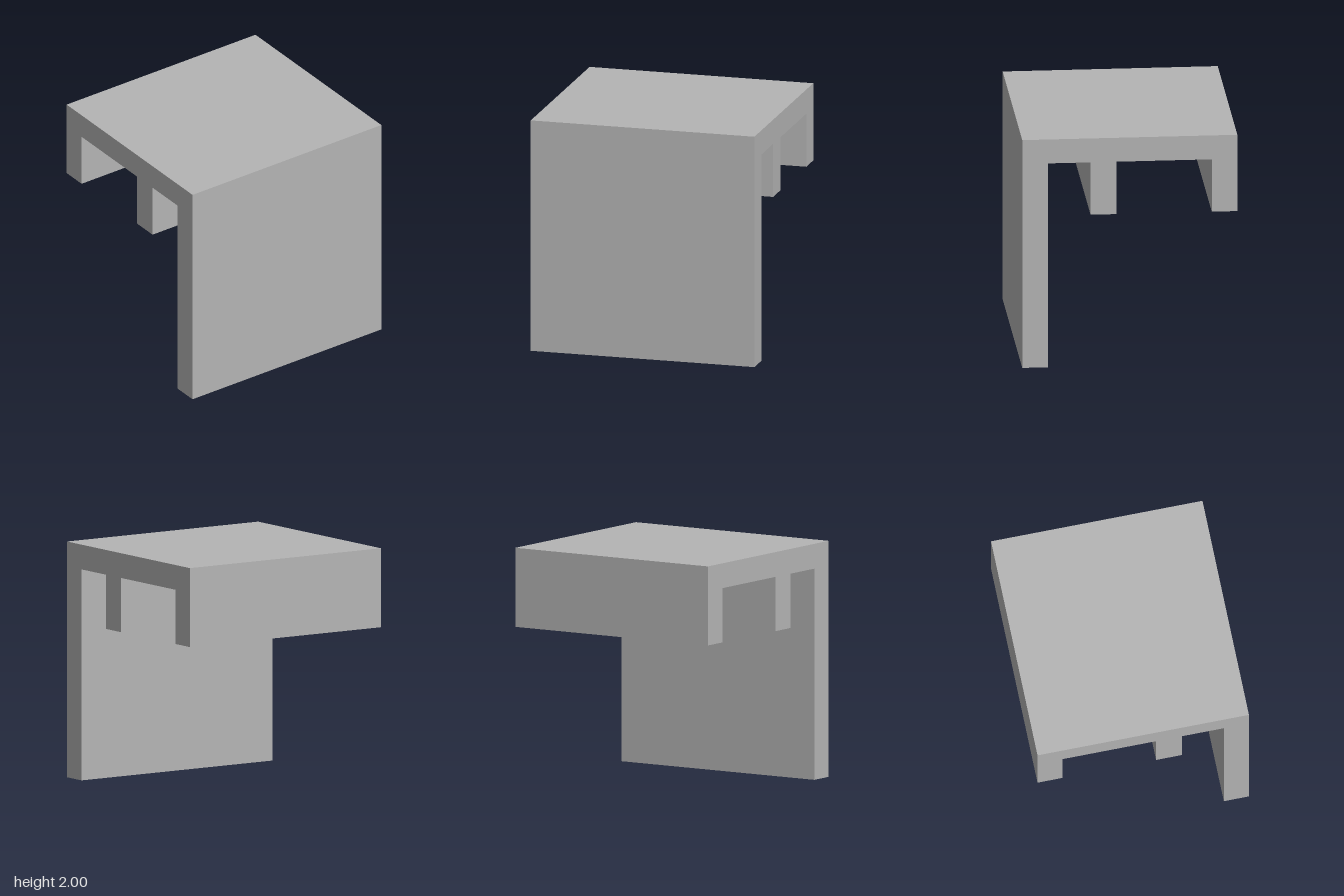
import * as THREE from 'three';

export function createModel() {
  const group = new THREE.Group();
  const grey = new THREE.MeshStandardMaterial({ color: 0xb4b4b4 });
  grey.name = 'grey';

  // Cross-section: top slab, tall side wall, two short hanging ribs
  const halfWidth = 0.905, depth = 1.95;
  const slabBottom = 1.79, ribBottom = 1.33;
  const section = new THREE.Shape([
    [-halfWidth, 2], [-halfWidth, ribBottom], [-0.69, ribBottom], [-0.69, slabBottom],
    [0.11, slabBottom], [0.11, ribBottom], [0.33, ribBottom], [0.33, slabBottom],
    [0.69, slabBottom], [0.69, 0], [halfWidth, 0], [halfWidth, 2],
  ].map(([x, y]) => new THREE.Vector2(x, y)));

  // One solid profile running the full depth
  const geometry = new THREE.ExtrudeGeometry(section, { depth, bevelEnabled: false });
  geometry.translate(0, 0, -depth / 2);
  const bracket = new THREE.Mesh(geometry, grey);
  bracket.name = 'ribbedBracket';
  group.add(bracket);
  return group;
}
